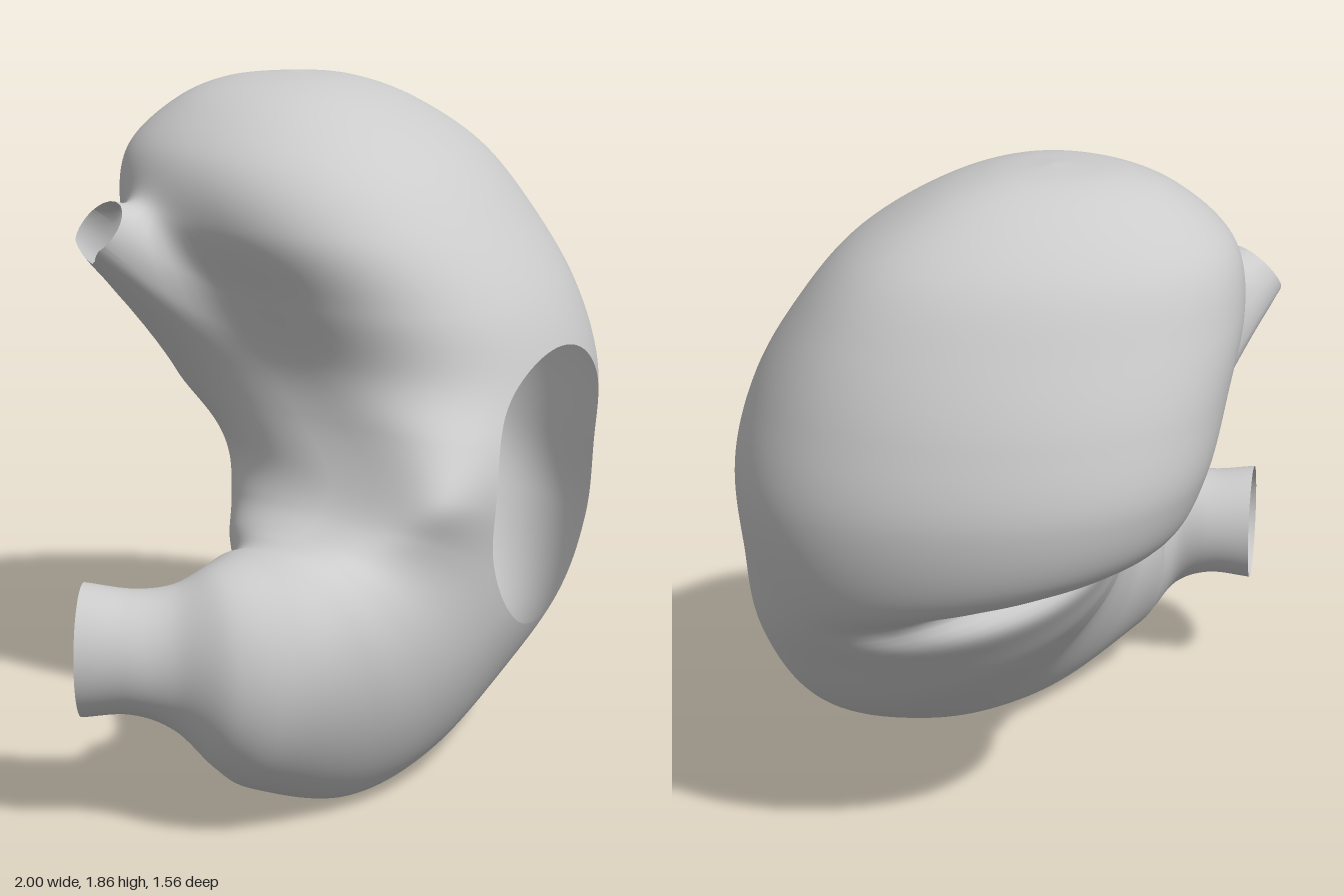
import * as THREE from 'three';
import { mergeVertices } from 'three/addons/utils/BufferGeometryUtils.js';

// Cross-sections from dome to outlet:
// inner x, y, outer x, y, back z, front z, fullness of the inner front, x lean of the front
const SECTIONS = [
  [0.2, 1.86, 0.2, 1.86, -0.17, -0.17, 0],
  [0.01, 1.84, 0.39, 1.84, -0.34, 0.02, 0],
  [-0.15, 1.775, 0.57, 1.775, -0.48, 0.21, 0.05],
  [-0.29, 1.65, 0.75, 1.65, -0.62, 0.42, 0.15],
  [-0.32, 1.49, 0.87, 1.48, -0.7, 0.57, 0.3],
  [-0.25, 1.3, 0.955, 1.28, -0.76, 0.69, 0.45],
  [-0.2, 1.13, 1, 1.05, -0.78, 0.75, 0.6],
  [-0.21, 1, 0.96, 0.8, -0.71, 0.77, 0.9],
  [-0.26, 0.87, 0.87, 0.57, -0.45, 0.78, 1],
  [-0.32, 0.785, 0.7, 0.34, -0.29, 0.78, 0.8],
  [-0.4, 0.745, 0.4, 0.165, -0.1, 0.78, 0.5],
  [-0.47, 0.74, 0.05, 0.03, 0.1, 0.78, 0.25],
  [-0.53, 0.74, -0.28, 0.0, 0.2, 0.77, 0.1],
  [-0.58, 0.73, -0.58, 0.1, 0.22, 0.73, 0, -0.045],
  [-0.67, 0.7, -0.67, 0.17, 0.24, 0.63, 0, -0.09],
  [-0.73, 0.65, -0.73, 0.27, 0.235, 0.47, 0, -0.1],
  [-0.8, 0.635, -0.8, 0.31, 0.17, 0.375, 0, -0.11],
  [-0.885, 0.65, -0.885, 0.3, 0.077, 0.28, 0, -0.115],
];
const ROWS = 200, COLS = 176;

// Inlet tube: axis, tip and radius
const AXIS = new THREE.Vector3(-0.78, 0.6, -0.1).normalize();
const TIP = new THREE.Vector3(-0.455, 1.47, -0.25);
const INLET_R = 0.088;

const inletCoords = (p) => {
  const d = p.clone().sub(TIP);
  const s = d.dot(AXIS);
  const radial = d.addScaledVector(AXIS, -s);
  return { s, radial, r: radial.length() };
};

// Draws the wall out into the inlet tube and presses in the fold on the back
function deform(point) {
  const p = point.clone();
  const { s, radial, r } = inletCoords(p);
  const near = THREE.MathUtils.smoothstep(s, -0.65, -0.4);
  const up = r > 0 ? radial.y / r : 0;
  const w = near * Math.exp(-Math.max(r - INLET_R, 0) / (0.08 - 0.03 * up));
  p.addScaledVector(AXIS, -s * w);
  const back = THREE.MathUtils.smoothstep(-p.z, -0.05, 0.25);
  const foldY = 0.82 - 0.2 * (p.x - 0.3);
  p.z += 0.19 * back * Math.exp(-(((p.x - 0.45) / 0.35) ** 2) - ((p.y - foldY) / 0.07) ** 2);
  return p;
}

// Negative inside the front window and the mouth of the inlet
function keep(p) {
  if (p.z > 0.35) return Math.hypot((p.x - 0.33) / 0.36, (p.y - 0.79) / 0.387) - 1;
  const { s, r } = inletCoords(p);
  return s > -0.5 ? r - INLET_R : 1;
}

// Trims a triangle to the kept side, then adds what is left in its final place
function addClipped(out, tri) {
  const poly = [];
  tri.forEach((a, i) => {
    const b = tri[(i + 1) % 3];
    if (a.f >= 0) poly.push(a.q);
    if (a.f >= 0 !== b.f >= 0) {
      // always cut from the kept end, so neighbours share the same point
      const [k, d] = a.f >= 0 ? [a, b] : [b, a];
      poly.push(deform(k.p.clone().lerp(d.p, k.f / (k.f - d.f))));
    }
  });
  for (let i = 1; i + 1 < poly.length; i++) {
    for (const q of [poly[0], poly[i], poly[i + 1]]) out.push(q.x, q.y, q.z);
  }
}

function wallGeometry() {
  // Smooth curves for section centres, both half axes and fullness
  const centres = [], us = [], vs = [], fulls = [];
  for (const [ix, iy, ox, oy, zb, zf, full, lean = 0] of SECTIONS) {
    centres.push(new THREE.Vector3((ix + ox) / 2, (iy + oy) / 2, (zf + zb) / 2));
    us.push(new THREE.Vector3((ox - ix) / 2, (oy - iy) / 2, 0));
    vs.push(new THREE.Vector3(lean, 0, (zf - zb) / 2));
    fulls.push(new THREE.Vector3(full, 0, 0));
  }
  const [centre, u, v, fullness] = [centres, us, vs, fulls].map(
    (pts) => new THREE.CatmullRomCurve3(pts, false, 'catmullrom', 0.5));

  const grid = [];
  for (let i = 0; i <= ROWS; i++) {
    const t = i / ROWS;
    const c = centre.getPoint(t), a = u.getPoint(t), b = v.getPoint(t);
    const full = fullness.getPoint(t).x;
    // egg-shaped sections, deeper on the inner side, turning oval at the outlet
    const egg = 0.25 * (1 - THREE.MathUtils.smoothstep(t, 0.7, 0.85));
    const ring = [];
    for (let j = 0; j < COLS; j++) {
      const th = (j / COLS) * Math.PI * 2;
      const cos = Math.cos(th), sin = Math.sin(th);
      const innerFront = cos < 0 && sin > 0;
      const swell = innerFront ? sin ** (1 - 0.55 * full) : sin;
      const depth = swell * (1 - egg * cos) / (1 + 0.1 * egg);
      const p = c.clone().addScaledVector(a, cos).addScaledVector(b, depth);
      // the inner edge is carried forward, hollowing the back beside it
      p.z += 0.28 * full * ((1 - cos) / 2) ** 2 * (1 - Math.max(sin, 0));
      ring.push({ p, q: deform(p), f: keep(p) });
    }
    grid.push(ring);
  }

  const out = [];
  for (let i = 0; i < ROWS; i++) {
    for (let j = 0; j < COLS; j++) {
      const n = (j + 1) % COLS;
      const a = grid[i][j], b = grid[i][n], c = grid[i + 1][j], d = grid[i + 1][n];
      if (i > 0) addClipped(out, [a, b, c]);
      addClipped(out, [b, d, c]);
    }
  }
  const geo = new THREE.BufferGeometry();
  geo.setAttribute('position', new THREE.Float32BufferAttribute(out, 3));
  const merged = mergeVertices(geo, 1e-5);
  merged.computeVertexNormals();
  return merged;
}

export function createModel() {
  const group = new THREE.Group();
  group.name = 'stomach';
  const wall = new THREE.Mesh(
    wallGeometry(),
    new THREE.MeshStandardMaterial({ color: 0xcccccc, side: THREE.DoubleSide }));
  wall.name = 'stomachWall';
  group.add(wall);
  return group;
}
